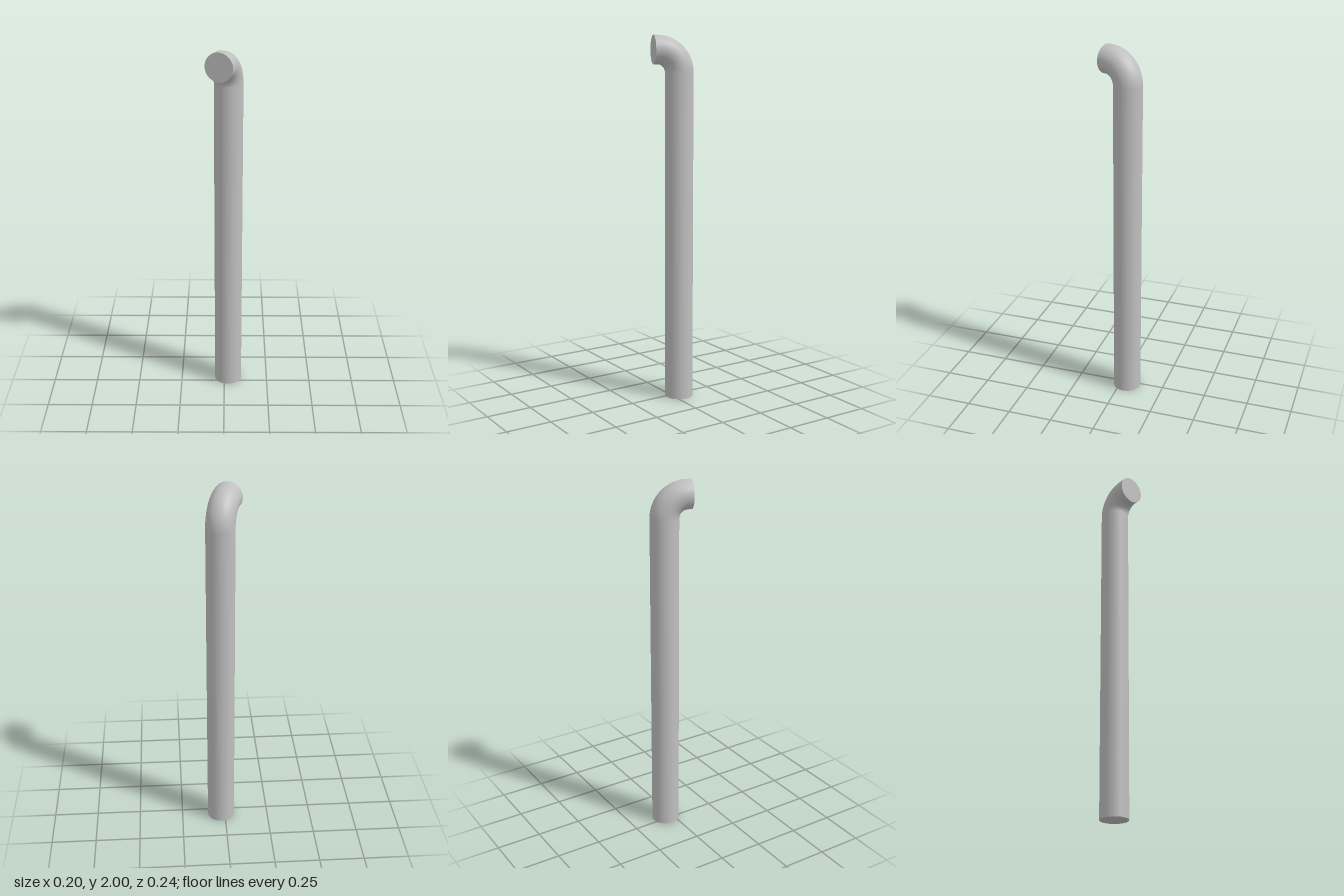
import * as THREE from 'three';

const RADIUS = 0.077;   // pipe radius
const BEND = 0.12;      // centreline radius of the elbow
const REACH = 0.141;    // distance from the shaft axis to the mouth
const SIDES = 40;

export function createModel() {
  const grey = new THREE.MeshStandardMaterial({ color: 0xbfbfbf });
  grey.name = 'plain grey';

  const model = new THREE.Group();
  model.name = 'bentPipe';
  const add = (name, geometry) => {
    const mesh = new THREE.Mesh(geometry, grey);
    mesh.name = name;
    model.add(mesh);
    return mesh;
  };

  const axisY = 2 - RADIUS;          // height of the outlet axis
  const shaftTop = axisY - BEND;
  const outlet = REACH - BEND;

  // Upright shaft and its closed foot
  add('shaft', new THREE.CylinderGeometry(RADIUS, RADIUS, shaftTop, SIDES, 1, true))
    .position.y = shaftTop / 2;
  add('footCap', new THREE.CircleGeometry(RADIUS, SIDES)).rotation.x = Math.PI / 2;

  // Quarter-turn elbow, leading from the shaft to local +x
  const elbow = add('elbow', new THREE.TorusGeometry(BEND, RADIUS, SIDES, 20, Math.PI / 2));
  elbow.rotation.z = Math.PI / 2;
  elbow.position.set(BEND, shaftTop, 0);

  // Short straight outlet and its closed end
  const spout = add('outlet', new THREE.CylinderGeometry(RADIUS, RADIUS, outlet, SIDES, 1, true));
  spout.rotation.z = -Math.PI / 2;
  spout.position.set(BEND + outlet / 2, axisY, 0);
  const cap = add('outletCap', new THREE.CircleGeometry(RADIUS, SIDES));
  cap.rotation.y = Math.PI / 2;
  cap.position.set(REACH, axisY, 0);

  // Turn the outlet to the front, slightly to the side
  model.rotation.y = THREE.MathUtils.degToRad(-110.5);
  model.position.set(0.0225, 0, -0.041);

  const root = new THREE.Group();
  root.name = 'pipe';
  root.add(model);
  return root;
}
